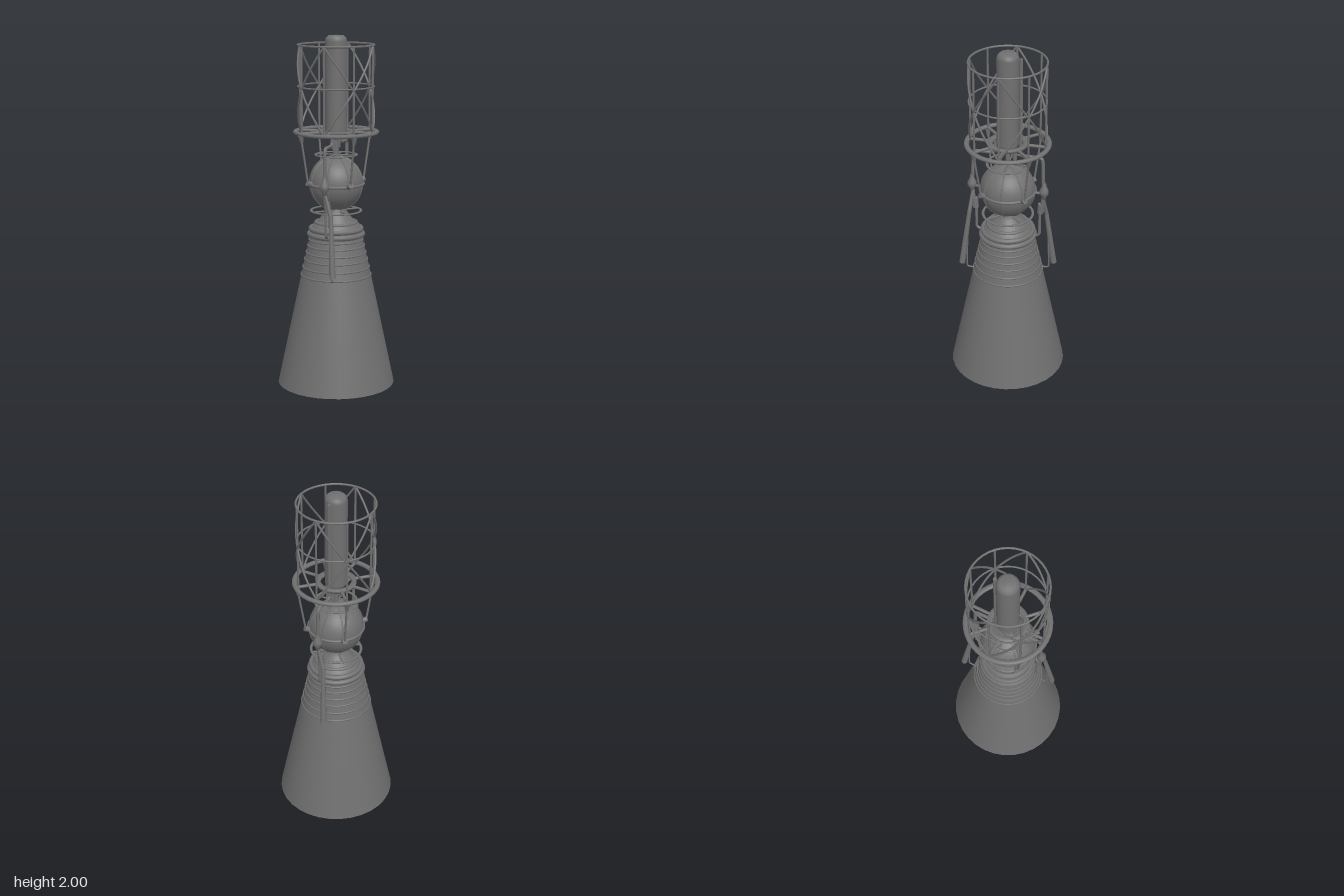
import * as THREE from 'three';

const material = new THREE.MeshStandardMaterial({ color: 0x707070, side: THREE.DoubleSide });
const V = (x, y, z) => new THREE.Vector3(x, y, z);

export function createModel() {
  const root = new THREE.Group();

  const add = (name, geometry, parent = root) => {
    const mesh = new THREE.Mesh(geometry, material);
    mesh.name = name;
    parent.add(mesh);
    return mesh;
  };
  const group = (name) => {
    const g = new THREE.Group();
    g.name = name;
    root.add(g);
    return g;
  };
  // Lathe from [radius, height] pairs
  const lathe = (name, pts, parent, segments = 32) =>
    add(name, new THREE.LatheGeometry(pts.map(([r, y]) => new THREE.Vector2(r, y)), segments), parent);
  // Horizontal ring; flat < 1 squashes its height
  const ring = (name, r, tube, y, parent, flat = 1) => {
    const geo = new THREE.TorusGeometry(r, tube, 8, 40);
    geo.rotateX(Math.PI / 2).scale(1, flat, 1);
    const mesh = add(name, geo, parent);
    mesh.position.y = y;
    return mesh;
  };
  // Straight round bar between two points, optionally tapered
  const rod = (name, a, b, r, parent, rEnd = r) => {
    const mesh = add(name, new THREE.CylinderGeometry(rEnd, r, a.distanceTo(b), 10), parent);
    mesh.position.copy(a).lerp(b, 0.5);
    mesh.quaternion.setFromUnitVectors(V(0, 1, 0), b.clone().sub(a).normalize());
    return mesh;
  };
  // Pipe through points with rounded corners
  const pipe = (name, pts, r, parent, bend = 0.025) => {
    const path = new THREE.CurvePath();
    let last = pts[0];
    for (let i = 1; i < pts.length - 1; i++) {
      const p = pts[i];
      const before = p.clone().add(pts[i - 1].clone().sub(p).setLength(bend));
      const after = p.clone().add(pts[i + 1].clone().sub(p).setLength(bend));
      path.add(new THREE.LineCurve3(last, before));
      path.add(new THREE.QuadraticBezierCurve3(before, p, after));
      last = after;
    }
    path.add(new THREE.LineCurve3(last, pts[pts.length - 1]));
    return add(name, new THREE.TubeGeometry(path, 48, r, 8), parent);
  };
  const polar = (a, r, y) => V(r * Math.sin(a), y, r * Math.cos(a));

  // Nozzle bell, open at the bottom
  const nozzle = group('nozzle');
  lathe('nozzleBell', [[0.336, 0], [0.268, 0.32], [0.2, 0.64], [0.15, 0.86]], nozzle);
  for (const y of [0.64, 0.685, 0.73, 0.77, 0.81, 0.845]) {
    ring('coolingRib', 0.2 - (y - 0.64) * 0.227, 0.005, y, nozzle);
  }

  // Chamber above the nozzle with its manifolds
  const chamber = group('chamber');
  lathe('chamberDome', [[0.15, 0.86], [0.15, 0.9], [0.135, 0.915], [0.13, 0.935], [0.108, 0.945],
    [0.1, 0.955], [0.07, 0.995], [0.055, 1.015], [0.055, 1.04]], chamber);
  ring('lowerManifold', 0.152, 0.015, 0.876, chamber);
  ring('upperManifold', 0.143, 0.015, 0.906, chamber);
  ring('collar', 0.115, 0.01, 0.942, chamber);
  ring('lowerHoop', 0.142, 0.008, 1.01, chamber, 0.6);
  for (let i = 0; i < 4; i++) {
    const a = (i + 0.5) * Math.PI / 2;
    rod('hoopArm', polar(a, 0.05, 1.01), polar(a, 0.142, 1.01), 0.005, chamber);
  }

  // Spherical tank with straps
  const sphere = group('sphereTank');
  add('sphereShell', new THREE.SphereGeometry(0.155, 32, 20), sphere).position.y = 1.168;
  ring('equatorBand', 0.156, 0.008, 1.165, sphere);
  for (let i = 0; i < 4; i++) {
    const strap = add('meridianStrap', new THREE.TorusGeometry(0.154, 0.005, 6, 40), sphere);
    strap.position.y = 1.168;
    strap.rotation.y = i * Math.PI / 4;
  }
  ring('upperHoop', 0.116, 0.008, 1.33, sphere, 0.5);
  for (let i = 0; i < 4; i++) {
    const a = i * Math.PI / 2;
    rod('hoopArm', polar(a, 0, 1.33), polar(a, 0.116, 1.33), 0.005, sphere);
  }

  // Central tall tank
  const tank = group('centralTank');
  lathe('tankBody', [[0, 1.43], [0.035, 1.433], [0.055, 1.445], [0.062, 1.46], [0.062, 1.965],
    [0.056, 1.985], [0.042, 1.997], [0, 2]], tank);
  rod('stem', V(0, 1.31, 0), V(0, 1.44, 0), 0.013, tank);
  rod('sidePipe', V(0, 1.44, -0.073), V(0, 1.97, -0.073), 0.01, tank);

  // Cage around the tank
  const cage = group('cage');
  const bottom = 1.46, top = 1.945, R = 0.213;
  ring('baseRing', 0.228, 0.015, bottom, cage, 0.75);
  lathe('hubRing', [[0.086, 1.452], [0.113, 1.452], [0.113, 1.468], [0.086, 1.468], [0.086, 1.452]], cage);
  ring('middleRing', R, 0.005, 1.715, cage);
  ring('topRing', R, 0.006, top, cage);
  for (let i = 0; i < 8; i++) {
    const a = i * Math.PI / 4;
    rod('spoke', polar(a, 0.1, bottom), polar(a, 0.225, bottom), 0.009, cage);
    rod('upright', polar(a, R, bottom), polar(a, R, top), 0.006, cage);
  }
  // Four crossed braces, each wrapping a quarter of the cage
  for (let i = 0; i < 4; i++) {
    for (const s of [-1, 1]) {
      const pts = [];
      for (let k = 0; k <= 8; k++) {
        const t = k / 8;
        pts.push(polar((i + 0.5 + s * (t - 0.5)) * Math.PI / 2, R, bottom + t * (top - bottom)));
      }
      add('diagonalBrace', new THREE.TubeGeometry(new THREE.CatmullRomCurve3(pts), 20, 0.006, 6), cage);
    }
  }

  // Struts from the base ring to the sphere
  const struts = group('struts');
  for (let i = 0; i < 4; i++) {
    const a = (i + 0.5) * Math.PI / 2;
    rod('strut', polar(a, 0.175, 1.17), polar(a, 0.218, 1.44), 0.006, struts);
    rod('strutSocket', polar(a, 0.214, 1.41), polar(a, 0.22, 1.45), 0.009, struts, 0.016);
    rod('strutFoot', polar(a, 0.145, 1.165), polar(a, 0.182, 1.18), 0.016, struts);
  }

  // Feed lines and exhausts, the same on both sides by a half turn
  for (let side = 0; side < 2; side++) {
    const feed = group(side ? 'backFeed' : 'frontFeed');
    feed.rotation.y = side * Math.PI;
    pipe('feedPipe', [V(0, 1.465, 0.073), V(0, 1.39, 0.073), V(0, 1.39, 0.198), V(0, 1.19, 0.205)], 0.01, feed);
    const pump = lathe('turbopump', [[0, -0.05], [0.01, -0.045], [0.015, -0.025], [0.026, -0.01],
      [0.026, 0.01], [0.014, 0.035], [0.01, 0.06]], feed, 16);
    pump.position.set(0, 1.175, 0.208);
    rod('pumpBracket', V(0, 1.165, 0.15), V(0, 1.165, 0.21), 0.008, feed);
    rod('pumpOutlet', V(0, 1.15, 0.205), V(0.012, 1.04, 0.195), 0.01, feed, 0.014);
    rod('gasGenerator', V(0.008, 1.09, 0.19), V(0.012, 1.03, 0.185), 0.018, feed);
    rod('exhaustNeck', V(0.005, 1.13, 0.205), V(0.04, 1.01, 0.216), 0.008, feed, 0.012);
    rod('exhaustPipe', V(0.039, 1.02, 0.215), V(0.063, 0.675, 0.258), 0.012, feed, 0.018);
    pipe('chamberLine', [V(0, 1.06, 0.185), V(0, 0.89, 0.185), V(0, 0.88, 0.145)], 0.008, feed, 0.018);
    pipe('coolantLine', [V(0.015, 1.09, 0.2), V(0.04, 0.98, 0.226), V(0.05, 0.645, 0.233), V(0.05, 0.642, 0.19)],
      0.005, feed, 0.015);
    // Small valves under the hub
    rod('valveStem', V(0, 1.33, 0.04), V(0, 1.44, 0.04), 0.005, feed);
    rod('valve', V(0, 1.365, 0.04), V(0, 1.41, 0.04), 0.013, feed);
  }

  return root;
}
